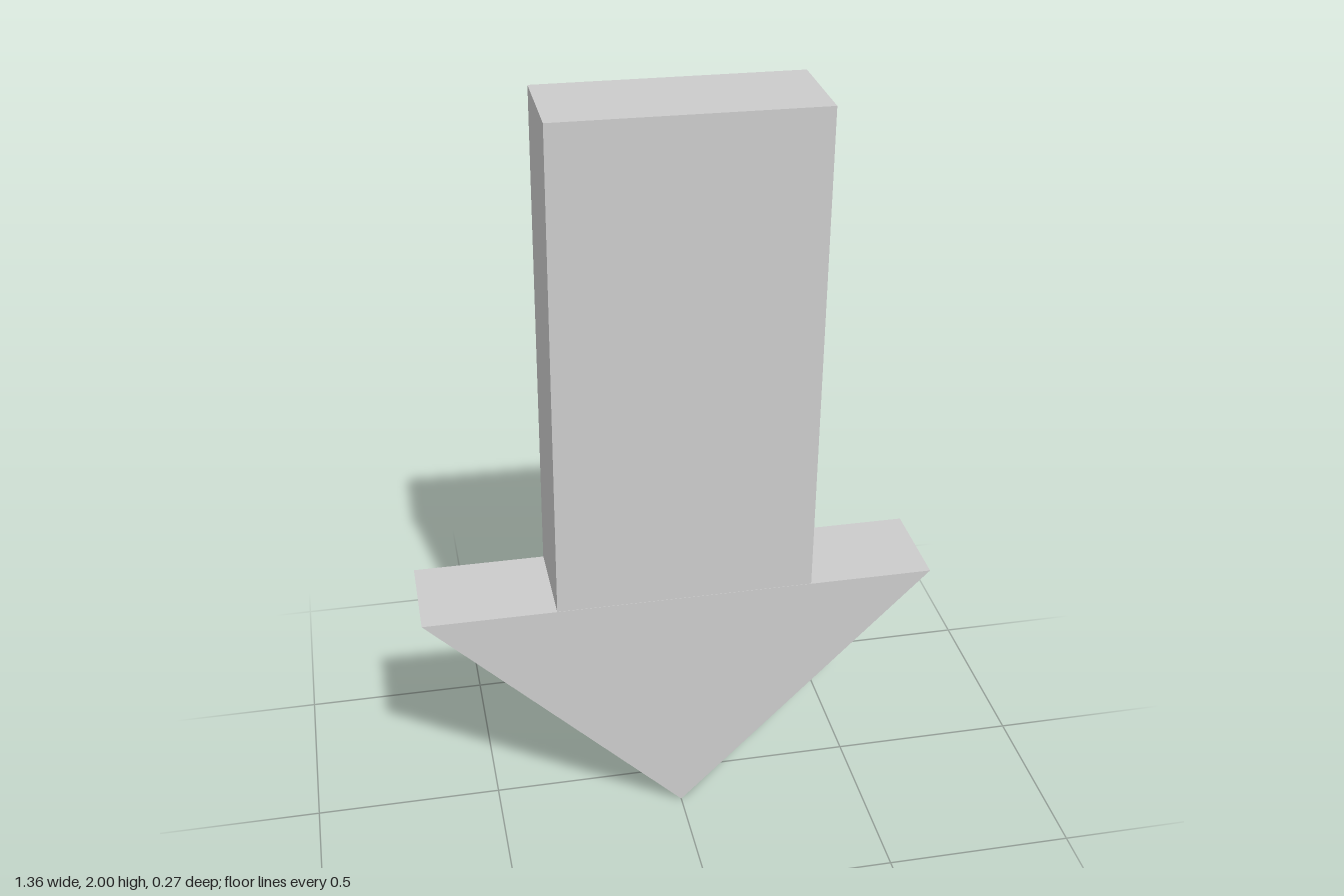
import * as THREE from 'three';

export function createModel() {
  const group = new THREE.Group();
  const material = new THREE.MeshStandardMaterial({ color: 0xcccccc, flatShading: true });

  const add = (name, geometry) => {
    const mesh = new THREE.Mesh(geometry, material);
    mesh.name = name;
    group.add(mesh);
    return mesh;
  };

  // Triangular head, pointing down
  const depth = 0.27;
  const triangle = new THREE.Shape([
    new THREE.Vector2(0, 0),
    new THREE.Vector2(0.68, 0.68),
    new THREE.Vector2(-0.68, 0.68),
  ]);
  const headGeometry = new THREE.ExtrudeGeometry(triangle, { depth, bevelEnabled: false });
  headGeometry.translate(0, 0, -depth / 2);
  add('arrowHead', headGeometry);

  // Straight shaft, tilted very slightly and set a hair further back than the head
  const shaft = add('arrowShaft', new THREE.BoxGeometry(0.68, 1.36, 0.272));
  shaft.position.set(0.015, 1.317, -0.002);
  shaft.rotation.z = -0.0074;

  return group;
}
